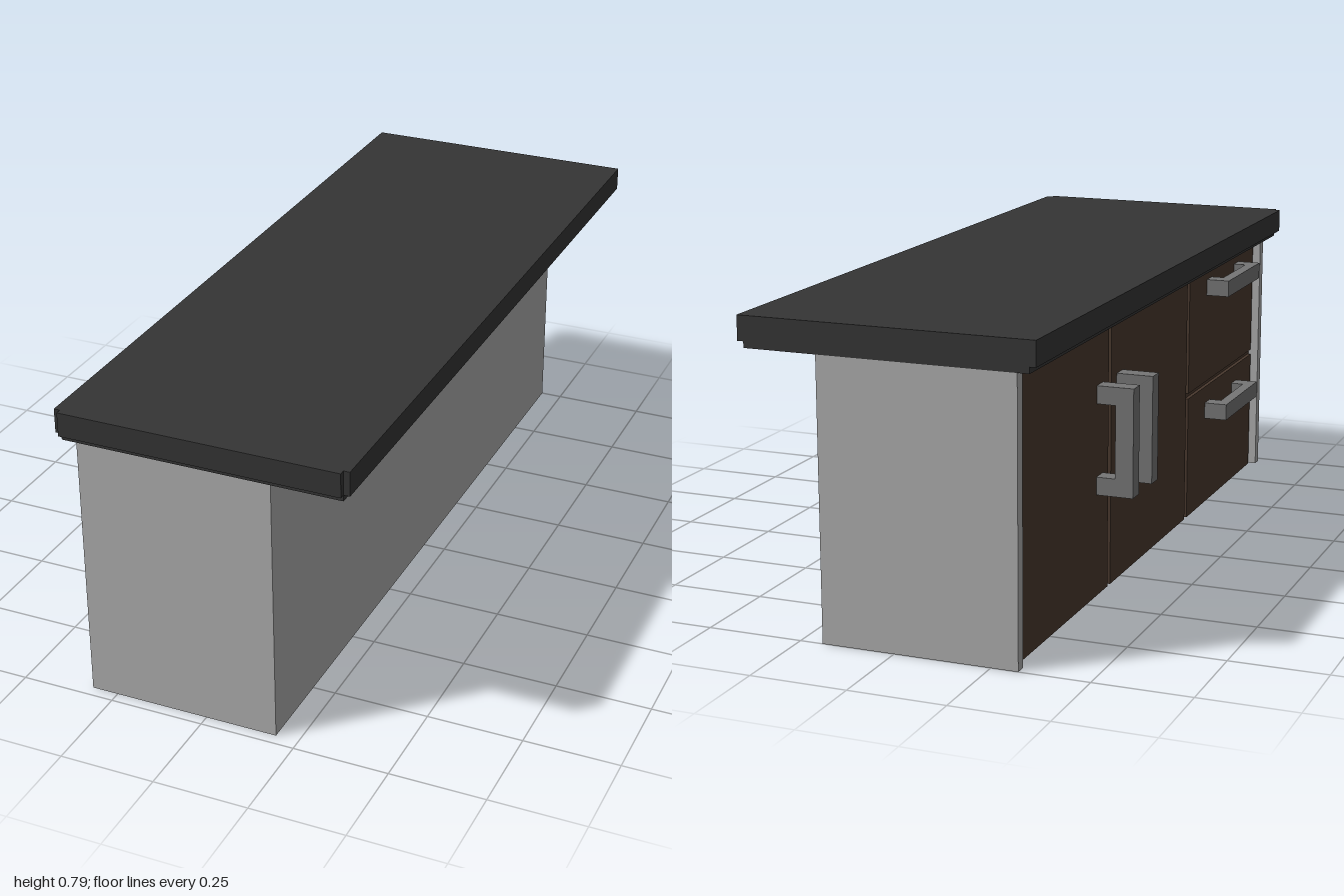
import * as THREE from 'three';

const material = (name, color) => {
  const m = new THREE.MeshStandardMaterial({ color });
  m.name = name;
  return m;
};

export function createModel() {
  const model = new THREE.Group();
  model.name = 'kitchenCounter';
  const grey = material('cabinetGrey', 0xaeaeae);
  const stone = material('worktopCharcoal', 0x353535);
  const wood = material('darkWood', 0x4a392e);
  const metal = material('handleGrey', 0x767676);

  // Box given by its minimum and maximum along each axis
  const box = (name, mat, [x0, x1], [y0, y1], [z0, z1], parent = model) => {
    const mesh = new THREE.Mesh(new THREE.BoxGeometry(x1 - x0, y1 - y0, z1 - z0), mat);
    mesh.position.set((x0 + x1) / 2, (y0 + y1) / 2, (z0 + z1) / 2);
    mesh.name = name;
    parent.add(mesh);
  };

  // Cabinet carcass with end panels standing proud of the doors
  const top = 0.715;
  box('carcass', grey, [-0.28, 0.19], [0, top], [-0.97, 0.94]);
  box('backEndPanel', grey, [-0.32, 0.19], [0, top], [-1, -0.97]);
  box('frontEndPanel', grey, [-0.32, 0.19], [0, top], [0.94, 0.97]);
  box('doorBacking', wood, [-0.29, -0.28], [0, top], [-0.97, 0.94]);

  // Two doors and a stack of two drawers, separated by narrow gaps
  const face = [-0.3, -0.29];
  box('doorBack', wood, face, [0, top], [-0.97, -0.345]);
  box('doorMiddle', wood, face, [0, top], [-0.325, 0.293]);
  box('drawerLower', wood, face, [0, 0.35], [0.313, 0.93]);
  box('drawerUpper', wood, face, [0.365, top], [0.313, 0.93]);

  // Upright door handles either side of the gap
  for (const z of [-0.408, -0.262]) {
    const handle = new THREE.Group();
    handle.name = 'doorHandle';
    const width = [z - 0.023, z + 0.023];
    box('grip', metal, [-0.398, -0.35], [0.271, 0.556], width, handle);
    for (const y of [0.271, 0.509]) box('post', metal, [-0.35, -0.3], [y, y + 0.047], width, handle);
    model.add(handle);
  }

  // Level drawer handles
  for (const y of [0.256, 0.62]) {
    const handle = new THREE.Group();
    handle.name = 'drawerHandle';
    const height = [y, y + 0.046];
    box('grip', metal, [-0.365, -0.335], height, [0.47, 0.78], handle);
    for (const z of [0.47, 0.733]) box('post', metal, [-0.335, -0.3], height, [z, z + 0.047], handle);
    model.add(handle);
  }

  // Worktop slab with notched front corners, extruded from its plan outline
  const plan = new THREE.Shape([
    [-0.366, 1], [-0.366, -0.985], [-0.35, -0.985], [-0.35, -1],
    [0.38, -1], [0.38, -0.985], [0.396, -0.985], [0.396, 1],
  ].map(([x, y]) => new THREE.Vector2(x, y)));
  const slab = new THREE.Mesh(
    new THREE.ExtrudeGeometry(plan, { depth: 0.063, bevelEnabled: false }).rotateX(-Math.PI / 2), stone);
  slab.position.y = 0.731;
  slab.name = 'worktop';
  model.add(slab);
  box('worktopUnderlay', stone, [-0.35, 0.38], [top, 0.731], [-1, 0.985]);

  return model;
}
